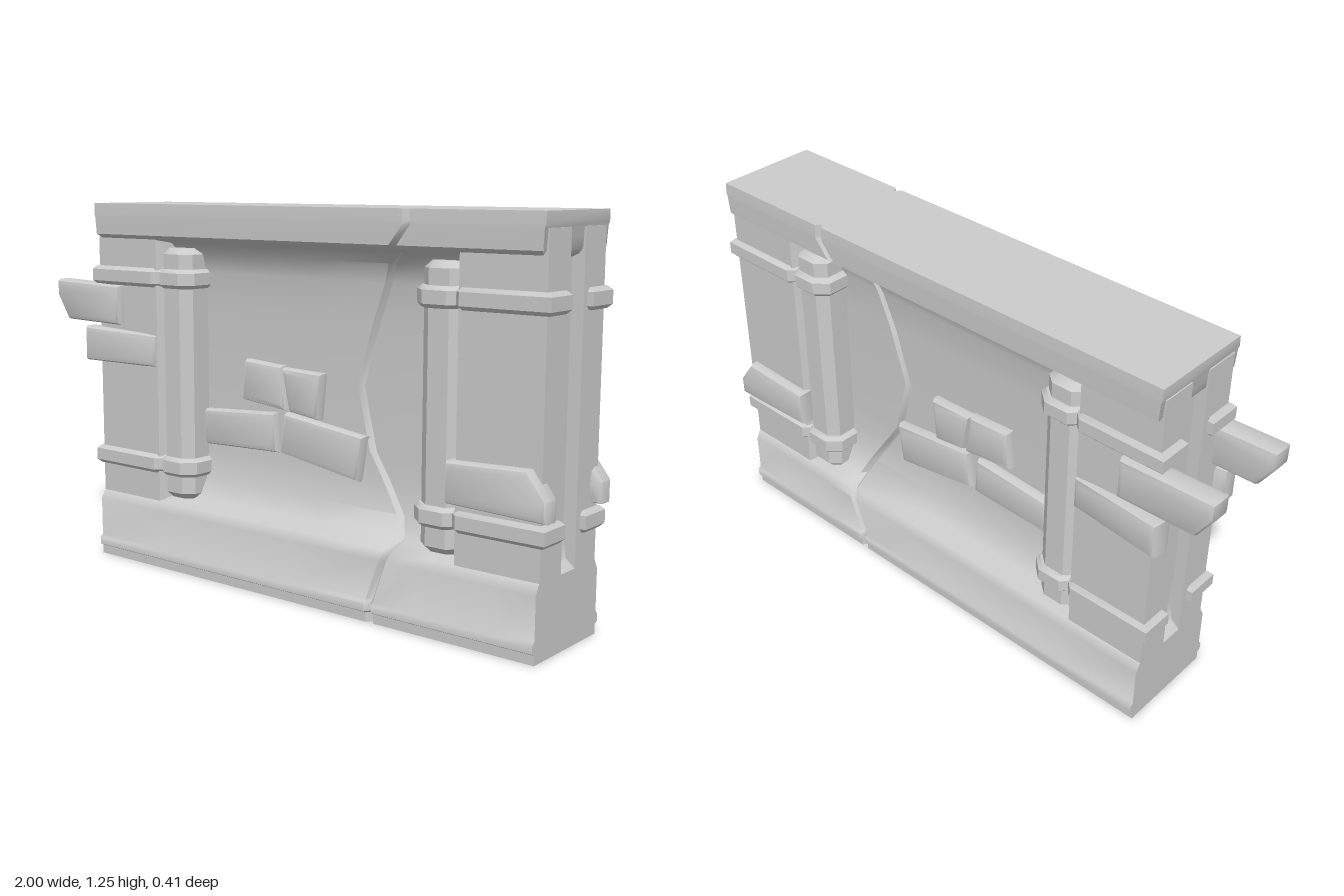
import * as THREE from 'three';
import { toCreasedNormals } from 'three/addons/utils/BufferGeometryUtils.js';

const material = new THREE.MeshStandardMaterial({ color: 0xcccccc });
const MID = 0.085, HALF = 0.885; // wall centre and half length along x

// mirrored copy for the back face, with winding flipped
function mirrorZ(geo) {
  const g = geo.clone().scale(1, 1, -1);
  const index = [];
  for (let i = 0; i < g.attributes.position.count; i += 3) index.push(i, i + 2, i + 1);
  g.setIndex(index);
  return g;
}

function add(group, name, geo, bothFaces = true) {
  const front = new THREE.Mesh(geo, material);
  front.name = bothFaces ? name + 'Front' : name;
  group.add(front);
  if (bothFaces) {
    const back = new THREE.Mesh(mirrorZ(geo), material);
    back.name = name + 'Back';
    group.add(back);
  }
}

const shapeOf = pts => new THREE.Shape(pts.map(p => new THREE.Vector2(p[0], p[1])));

// plan outline (x, z) extruded from y0 to y1 with bevelled rims
function planSolid(pts, y0, y1, bevel) {
  const geo = new THREE.ExtrudeGeometry(shapeOf(pts), {
    depth: y1 - y0 - 2 * bevel, bevelEnabled: bevel > 0, bevelSize: bevel,
    bevelThickness: bevel, bevelOffset: -bevel, bevelSegments: 1,
  });
  geo.rotateX(Math.PI / 2).translate(0, y1 - bevel, 0);
  return toCreasedNormals(geo, 0.6);
}

// rounded stone from its front outline, optionally turned about y
function stone(pts, z0, z1, turn = 0) {
  const b = 0.02, cx = (pts[0][0] + pts[1][0]) / 2;
  const geo = new THREE.ExtrudeGeometry(shapeOf(pts), {
    depth: z1 - z0 - 2 * b, bevelSize: b, bevelThickness: b, bevelOffset: -b, bevelSegments: 2,
  });
  const zc = (z1 - z0) / 2 - b;
  geo.translate(-cx, 0, -zc).rotateY(turn).translate(cx, 0, (z0 + z1) / 2);
  return toCreasedNormals(geo, 0.7);
}

// linear interpolation through [key, value] pairs
function sample(table, t) {
  for (let i = 1; i < table.length; i++) {
    const [a, va] = table[i - 1], [b, vb] = table[i];
    if (t <= b) return va + (vb - va) * (t - a) / (b - a);
  }
  return table[table.length - 1][1];
}

// crack: x position by height
const CRACK = [[0, 0.4], [0.07, 0.4], [0.27, 0.47], [0.5, 0.32], [0.7, 0.27],
  [0.9, 0.33], [1.08, 0.4], [1.13, 0.46], [1.18, 0.52], [1.25, 0.52]];

// wall body: rings of [height, half thickness, end inset]
const RINGS = [[0, 0.175, 0], [0.03, 0.175, 0], [0.036, 0.187, 0], [0.06, 0.187, 0],
  [0.07, 0.176, 0], [0.2, 0.176, 0], [0.23, 0.16, 0], [0.255, 0.105, 0.03],
  [0.32, 0.07, 0.04], [0.42, 0.057, 0.04], [0.5, 0.055, 0.04], [0.7, 0.053, 0.04],
  [0.9, 0.055, 0.04], [1.02, 0.06, 0.04], [1.08, 0.075, 0.04], [1.115, 0.11, 0.04],
  [1.125, 0.155, 0.02], [1.14, 0.176, 0.008], [1.2, 0.178, 0.004], [1.21, 0.178, 0], [1.245, 0.176, 0]];

function wallGeometry() {
  const pos = [], index = [], N = 11;
  for (const [y, z, inset] of RINGS) {
    const x0 = MID - HALF + inset, x1 = MID + HALF - inset, c = sample(CRACK, y);
    const line = [];
    for (let i = 0; i < 5; i++) line.push([x0 + (c - 0.014 - x0) * i / 4, z]);
    line.push([c, z - 0.02]);
    for (let i = 0; i < 5; i++) line.push([c + 0.014 + (x1 - c - 0.014) * i / 4, z]);
    for (const [x, d] of line) pos.push(x, y, d);
    for (const [x, d] of line.slice().reverse()) pos.push(x, y, -d);
  }
  const M = 2 * N;
  for (let r = 0; r < RINGS.length - 1; r++) for (let i = 0; i < M; i++) {
    const a = r * M + i, b = r * M + (i + 1) % M;
    index.push(a, b, b + M, a, b + M, a + M);
  }
  const top = (RINGS.length - 1) * M;
  for (let i = 0; i < N - 1; i++) {
    const f = i, g = i + 1, bk = M - 1 - i, bg = M - 2 - i;
    index.push(top + f, top + g, top + bg, top + f, top + bg, top + bk);
    index.push(f, bg, g, f, bk, bg);
  }
  const geo = new THREE.BufferGeometry();
  geo.setAttribute('position', new THREE.Float32BufferAttribute(pos, 3));
  geo.setIndex(index);
  return toCreasedNormals(geo, 0.85);
}

export function createModel() {
  const model = new THREE.Group();
  add(model, 'wall', wallGeometry(), false);

  // corner piers, their columns and the straps around both
  for (const [side, s] of [['right', -1], ['left', 1]]) {
    const pier = new THREE.Group();
    pier.name = side + 'Pier';
    const plan = pts => pts.map(([d, z]) => [MID + s * d, z]);
    add(pier, 'pierPanel', planSolid(plan([[HALF, 0.04], [HALF, 0.158], [0.605, 0.158],
      [0.58, 0.12], [0.56, 0.04]]), 0.22, 1.2, 0));
    add(pier, 'column', planSolid(plan([[0.6, 0.04], [0.6, 0.125], [0.57, 0.155], [0.5, 0.155],
      [0.465, 0.125], [0.465, 0.04]]), 0.25, 1.1, 0.02));
    for (const [name, y] of [['lowerStrap', 0.33], ['upperStrap', 0.967]]) {
      add(pier, name, planSolid(plan([[0.905, 0.06], [0.905, 0.174], [0.615, 0.174], [0.592, 0.152],
        [0.572, 0.174], [0.49, 0.174], [0.447, 0.135], [0.447, 0.05]]), y, y + 0.064, 0.012));
    }
    model.add(pier);
  }

  // protruding stones on the piers
  add(model, 'cornerStoneUpper', stone([[-1, 0.975], [-0.68, 0.965], [-0.68, 0.83],
    [-0.945, 0.835], [-1, 0.92]], 0.11, 0.19));
  add(model, 'cornerStoneLower', stone([[-0.84, 0.82], [-0.52, 0.805], [-0.52, 0.695],
    [-0.84, 0.7]], 0.115, 0.19, 0.12));
  add(model, 'cornerStoneLeft', stone([[0.67, 0.54], [0.94, 0.55], [1, 0.47], [1, 0.405],
    [0.67, 0.415]], 0.115, 0.195));

  // exposed stones in the middle of the wall
  const stones = [
    [[-0.19, 0.745], [-0.03, 0.735], [-0.01, 0.59], [-0.2, 0.61]],
    [[-0.03, 0.73], [0.135, 0.725], [0.12, 0.575], [0, 0.59]],
    [[-0.375, 0.56], [-0.06, 0.58], [-0.05, 0.45], [-0.37, 0.44]],
    [[-0.02, 0.585], [0.3, 0.545], [0.28, 0.4], [-0.035, 0.45]],
  ];
  stones.forEach((pts, i) => add(model, 'wallStone' + (i + 1), stone(pts, 0.025, 0.09)));
  return model;
}
